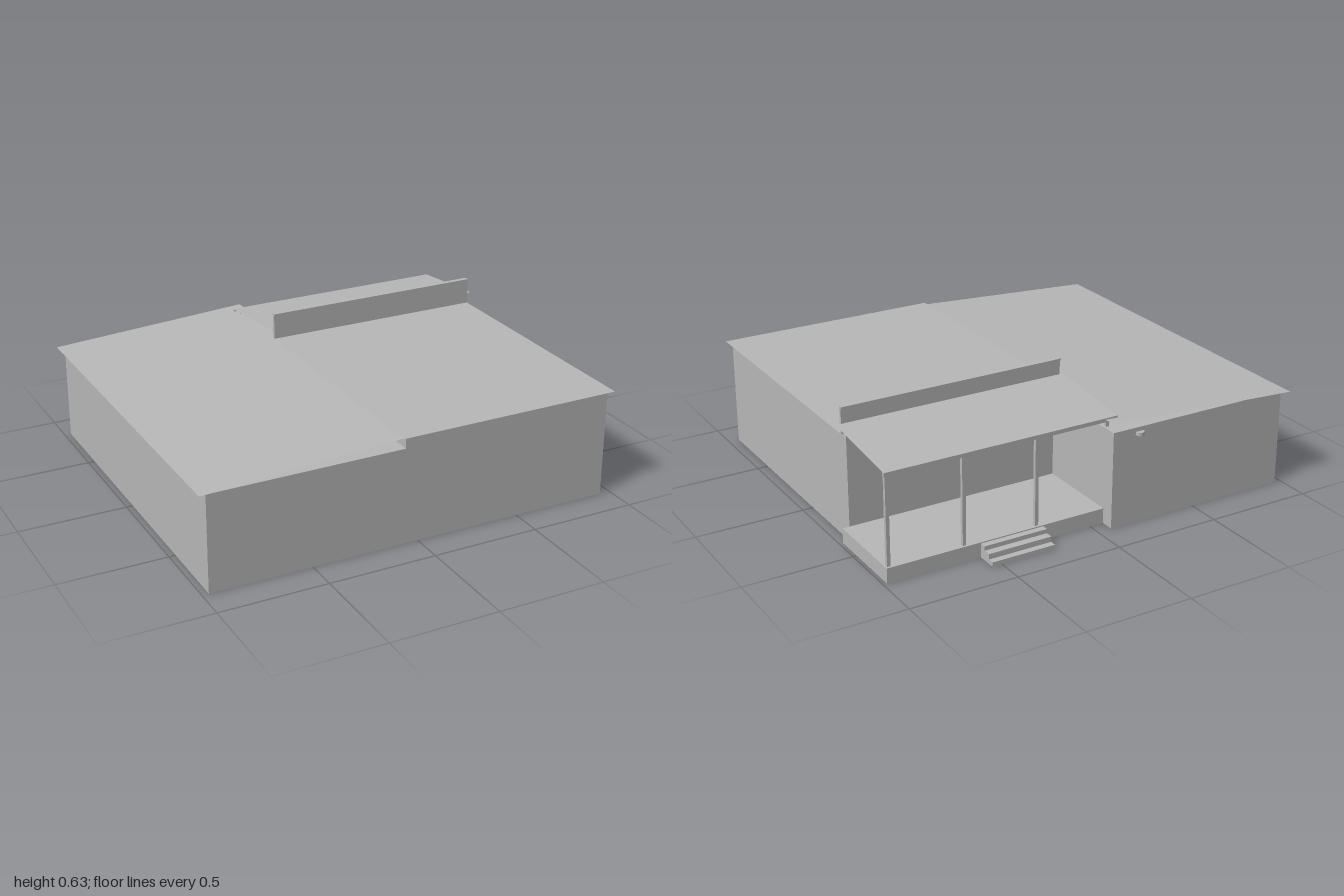
import * as THREE from 'three';

export function createModel() {
  const house = new THREE.Group();
  house.name = 'house';
  const grey = new THREE.MeshStandardMaterial({ color: 0xb8b8b8, side: THREE.DoubleSide });
  grey.name = 'plain grey';

  const add = (name, geometry) => {
    const mesh = new THREE.Mesh(geometry, grey);
    mesh.name = name;
    house.add(mesh);
    return mesh;
  };

  // Box given by its extents along each axis
  const box = (name, x0, x1, y0, y1, z0, z1) =>
    add(name, new THREE.BoxGeometry(x1 - x0, y1 - y0, z1 - z0))
      .position.set((x0 + x1) / 2, (y0 + y1) / 2, (z0 + z1) / 2);

  // Thin roof sheet whose height follows a rule
  const sheet = (name, x0, x1, z0, z1, height) => {
    const g = new THREE.PlaneGeometry(x1 - x0, z1 - z0).rotateX(-Math.PI / 2);
    g.translate((x0 + x1) / 2, 0, (z0 + z1) / 2);
    const p = g.attributes.position;
    for (let i = 0; i < p.count; i++) p.setY(i, height(p.getX(i), p.getZ(i)));
    g.computeVertexNormals();
    add(name, g);
  };

  // Walls: long side wing and taller main block
  box('sideWing', -0.97, -0.067, 0, 0.449, -0.84, 0.85);
  box('mainBlock', -0.067, 0.95, 0, 0.503, -0.37, 0.85);

  // Roofs: the wing rises to +x, the main one is flat, the porch falls to the back
  sheet('wingRoof', -1, -0.045, -0.868, 0.857, (x) => 0.45 + (0.054 * (x + 1)) / 0.955);
  sheet('mainRoof', -0.09, 0.975, -0.388, 0.87, () => 0.506);
  sheet('porchRoof', -0.107, 1, -0.808, -0.375, (x, z) => 0.51 + (0.044 * (z + 0.808)) / 0.433);

  // Upstand wall between main roof and porch roof, with its cap
  box('parapet', -0.09, 0.975, 0.506, 0.622, -0.381, -0.368);
  box('parapetCap', -0.09, 0.975, 0.622, 0.63, -0.389, -0.366);

  // Porch floor, gutter and posts
  box('porchFloor', -0.067, 0.983, 0, 0.07, -0.778, -0.37);
  box('porchGutter', -0.107, 1, 0.492, 0.51, -0.808, -0.794);
  for (let i = 0; i < 4; i++) {
    const x = 0.968 - i * 0.351;
    box('porchPost', x - 0.008, x + 0.008, 0.07, 0.513, -0.767, -0.751);
  }

  // Steps up to the porch
  const steps = [[-0.778, -0.808, 0.065], [-0.808, -0.843, 0.045], [-0.843, -0.873, 0.02]];
  for (const [front, back, top] of steps) box('step', 0.24, 0.545, 0, top, back, front);

  // Small lamp on the back wall of the wing
  add('wallLamp', new THREE.CylinderGeometry(0.02, 0.02, 0.015, 16)).position.set(-0.2, 0.422, -0.842);

  return house;
}
